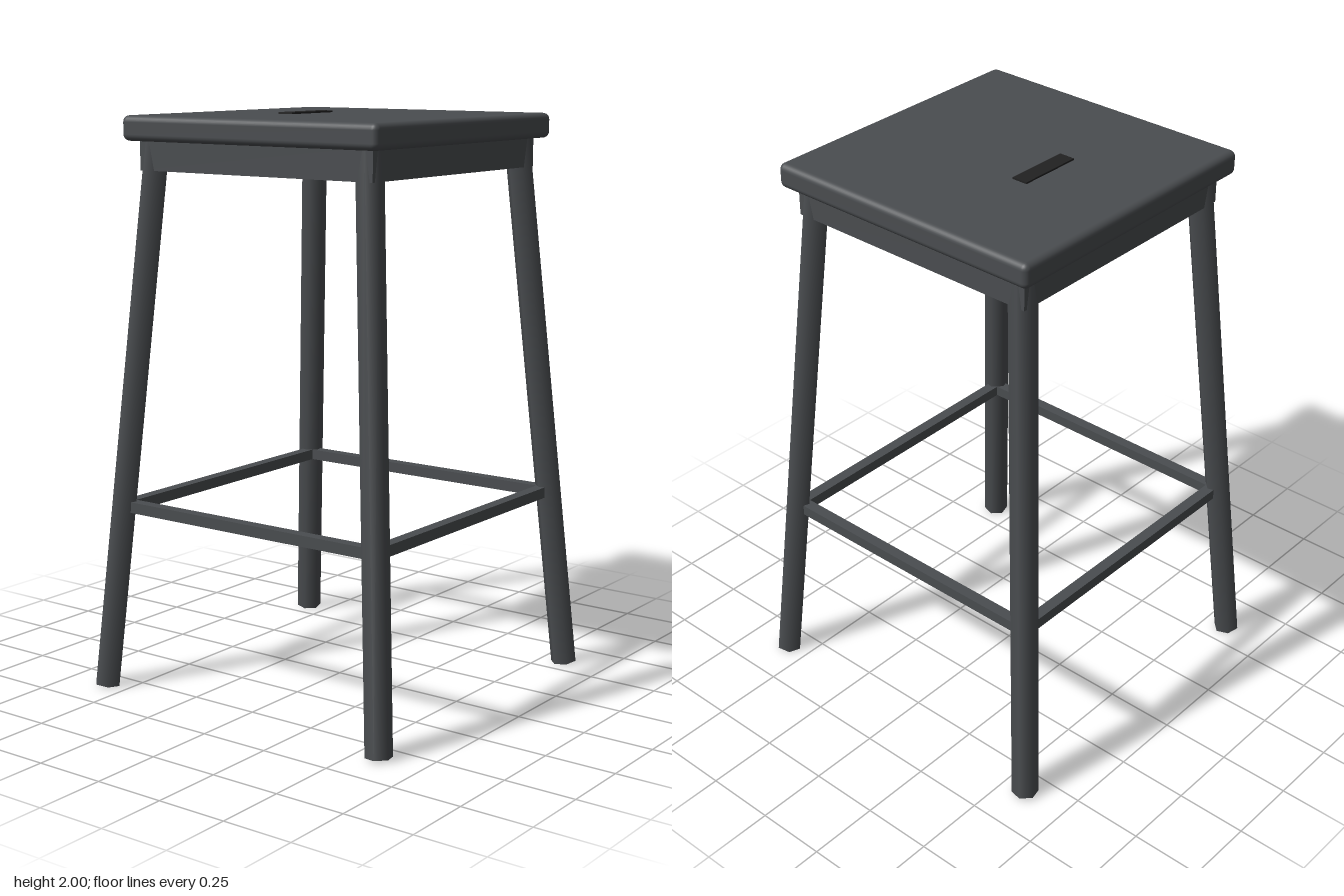
import * as THREE from 'three';
import { RoundedBoxGeometry } from 'three/addons/geometries/RoundedBoxGeometry.js';

const frameMat = new THREE.MeshStandardMaterial({ color: 0x4a4d50 });
const slotMat = new THREE.MeshStandardMaterial({ color: 0x222222 });

function addMesh(parent, name, geometry, material, x = 0, y = 0, z = 0) {
  const mesh = new THREE.Mesh(geometry, material);
  mesh.name = name;
  mesh.position.set(x, y, z);
  parent.add(mesh);
  return mesh;
}

// Six-sided post between two points, one flat facing the outer corner
function postGeometry(from, to, radius) {
  const axis = to.clone().sub(from);
  const geometry = new THREE.CylinderGeometry(radius, radius, axis.length(), 6);
  geometry.rotateY(Math.PI / 12);
  geometry.applyQuaternion(
    new THREE.Quaternion().setFromUnitVectors(new THREE.Vector3(0, 1, 0), axis.normalize())
  );
  const mid = from.clone().add(to).multiplyScalar(0.5);
  return geometry.translate(mid.x, mid.y, mid.z);
}

export function createModel() {
  const stool = new THREE.Group();
  stool.name = 'stool';

  // Seat slab, apron block under it and the grip slot on top
  addMesh(stool, 'seat', new RoundedBoxGeometry(1.05, 0.085, 1.05, 3, 0.022), frameMat, 0, 1.9515, 0);
  addMesh(stool, 'apron', new THREE.BoxGeometry(0.96, 0.11, 0.96), frameMat, 0, 1.865, 0);
  addMesh(stool, 'gripSlot', new THREE.BoxGeometry(0.232, 0.02, 0.057), slotMat, 0, 1.99, -0.145);

  // Four splayed legs joined by a square of rungs
  const legGeometry = postGeometry(
    new THREE.Vector3(0.587, 0.005, 0.587),
    new THREE.Vector3(0.437, 1.925, 0.437),
    0.046
  );
  const rungGeometry = new THREE.BoxGeometry(1.09, 0.038, 0.04);
  for (let i = 0; i < 4; i++) {
    const side = new THREE.Group();
    side.name = 'side' + (i + 1);
    side.rotation.y = (i * Math.PI) / 2;
    addMesh(side, 'leg', legGeometry, frameMat);
    addMesh(side, 'rung', rungGeometry, frameMat, 0, 0.65, 0.525);
    stool.add(side);
  }
  return stool;
}
